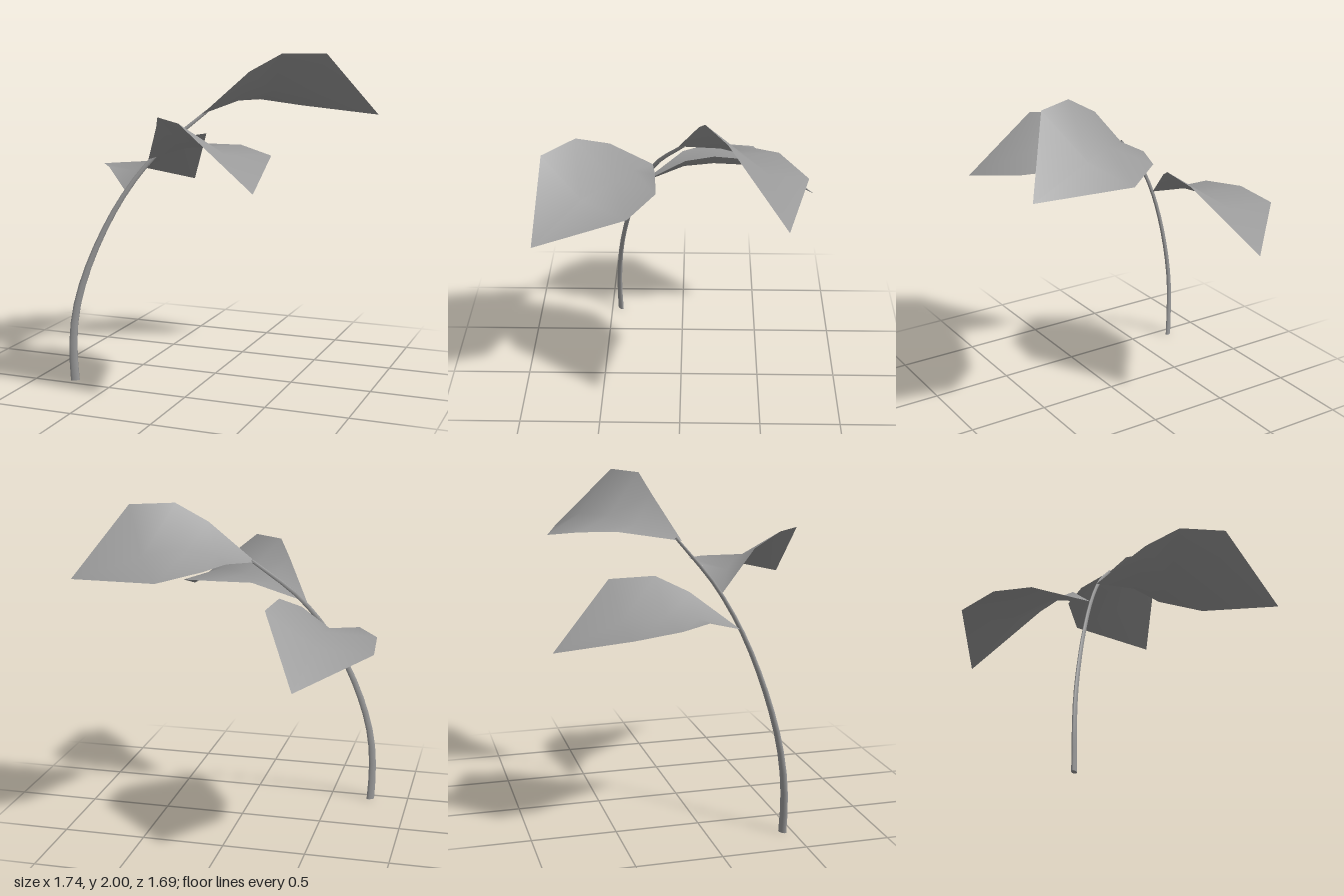
import * as THREE from 'three';

const material = new THREE.MeshStandardMaterial({ color: 0x9b9b9b, side: THREE.DoubleSide });

// Leaf blade: a base point, rows of [low edge, midrib, high edge], and a tip
function makeLeaf(name, base, rows, tip) {
  const points = [base, ...rows.flat(), tip];
  const index = [0, 2, 1, 0, 3, 2];
  for (let r = 0; r < rows.length - 1; r++) {
    for (let c = 0; c < 2; c++) {
      const a = 1 + r * 3 + c;
      index.push(a, a + 1, a + 3, a + 1, a + 4, a + 3);
    }
  }
  const last = points.length - 1;
  index.push(last - 3, last - 2, last, last - 2, last - 1, last);
  const geometry = new THREE.BufferGeometry();
  geometry.setAttribute('position', new THREE.Float32BufferAttribute(points.flat(), 3));
  geometry.setIndex(index);
  geometry.computeVertexNormals();
  const leaf = new THREE.Mesh(geometry, material);
  leaf.name = name;
  return leaf;
}

// Arching stem: a tube, oval in section, whose rings shrink towards the top
function makeStem() {
  const segments = 16, sides = 8, bottom = 0.028, top = 0.01, flatness = 0.5;
  const heading = 0.57; // the stem leans along (cos, 0, -sin) of this angle
  const across = new THREE.Vector3(Math.sin(heading), 0, Math.cos(heading));
  const curve = new THREE.CatmullRomCurve3([
    [-0.76, 0, 0.44], [-0.767, 0.2, 0.445], [-0.755, 0.4, 0.435], [-0.715, 0.6, 0.41],
    [-0.625, 0.87, 0.352], [-0.493, 1.15, 0.267], [-0.32, 1.4, 0.155], [-0.06, 1.65, -0.015],
  ].map((p) => new THREE.Vector3(...p)));
  const geometry = new THREE.TubeGeometry(curve, segments, 1, sides);
  const position = geometry.attributes.position;
  const normal = geometry.attributes.normal;
  const v = new THREE.Vector3();
  for (let i = 0; i < position.count; i++) {
    const t = Math.floor(i / (sides + 1)) / segments;
    const centre = curve.getPointAt(t);
    v.fromBufferAttribute(position, i).sub(centre);
    v.addScaledVector(across, (flatness - 1) * v.dot(across));
    v.multiplyScalar(THREE.MathUtils.lerp(bottom, top, t)).add(centre);
    position.setXYZ(i, v.x, Math.max(v.y, 0), v.z);
    v.fromBufferAttribute(normal, i);
    v.addScaledVector(across, (1 / flatness - 1) * v.dot(across)).normalize();
    normal.setXYZ(i, v.x, v.y, v.z);
  }
  const tube = new THREE.Mesh(geometry, material);
  tube.name = 'stemTube';

  // Cut end at the foot
  const cut = new THREE.CircleGeometry(bottom, sides);
  cut.scale(1, flatness, 1).rotateX(Math.PI / 2).rotateY(heading);
  const cap = new THREE.Mesh(cut, material);
  cap.name = 'stemCut';
  cap.position.set(-0.76, 0, 0.44);

  const stem = new THREE.Group();
  stem.name = 'stem';
  stem.add(tube, cap);
  return stem;
}

export function createModel() {
  const group = new THREE.Group();
  group.name = 'leafySprig';
  group.add(makeStem());

  group.add(makeLeaf('lowerLeaf', [-0.485, 1.17, 0.257], [
    [[-0.72, 1.275, 0], [-0.54, 1.26, -0.01], [-0.37, 1.385, -0.02]],
    [[-0.85, 1.27, -0.19], [-0.535, 1.285, -0.2], [-0.27, 1.47, -0.2]],
    [[-0.87, 1.24, -0.465], [-0.54, 1.27, -0.47], [-0.245, 1.46, -0.47]],
  ], [-0.48, 1.1, -0.845]));

  group.add(makeLeaf('middleLeaf', [-0.365, 1.365, 0.183], [
    [[-0.02, 1.475, 0.155], [-0.11, 1.455, 0.29], [-0.2, 1.59, 0.435]],
    [[0.22, 1.475, 0.145], [0.06, 1.485, 0.39], [-0.105, 1.67, 0.63]],
    [[0.46, 1.44, 0.3], [0.28, 1.47, 0.57], [0.1, 1.66, 0.815]],
  ], [0.54, 1.3, 0.842]));

  group.add(makeLeaf('topLeaf', [-0.08, 1.635, 0.015], [
    [[0.01, 1.69, -0.355], [0.1, 1.715, -0.23], [0.18, 1.89, -0.105]],
    [[0.09, 1.685, -0.57], [0.25, 1.757, -0.355], [0.375, 2, -0.138]],
    [[0.32, 1.64, -0.73], [0.47, 1.745, -0.495], [0.62, 2, -0.26]],
  ], [0.868, 1.61, -0.59]));

  return group;
}
